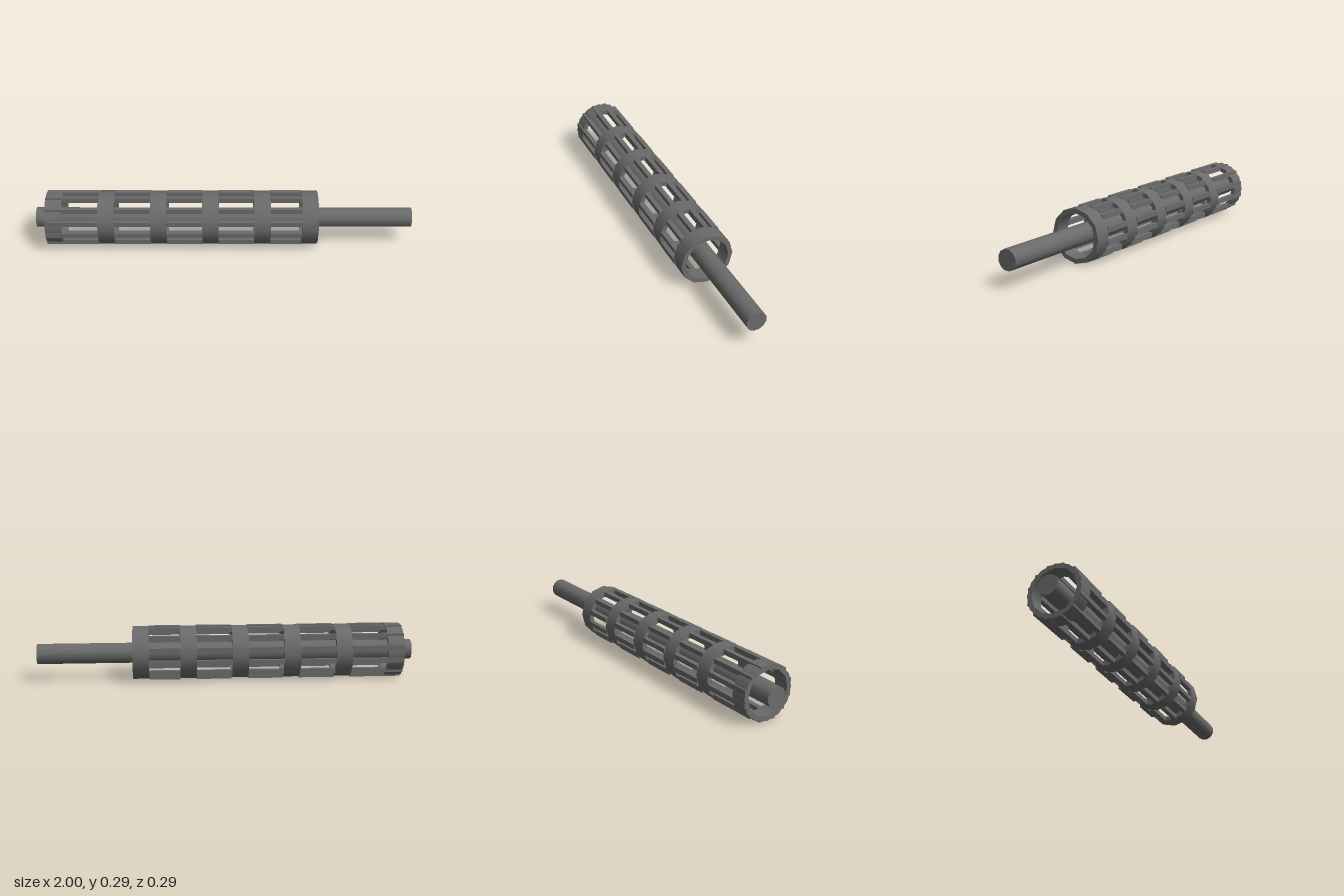
import * as THREE from 'three';
import { mergeGeometries } from 'three/addons/utils/BufferGeometryUtils.js';

const SIDES = 12;
const CENTER_Y = 0.1445;

// Hollow ring along x; each profile edge is its own lathe so corners stay sharp
function ringGeometry(outer, inner, width) {
  const h = width / 2;
  const profile = [[outer, -h], [outer, h], [inner, h], [inner, -h]];
  const faces = profile.map((p, i) => {
    const q = profile[(i + 1) % profile.length];
    return new THREE.LatheGeometry([new THREE.Vector2(...p), new THREE.Vector2(...q)], SIDES);
  });
  return mergeGeometries(faces).rotateZ(-Math.PI / 2);
}

export function createModel() {
  const model = new THREE.Group();
  model.name = 'cageRoller';
  const steel = new THREE.MeshStandardMaterial({ color: 0x6b6b6b });
  steel.name = 'darkSteel';

  const add = (name, geometry, x, y, z) => {
    const mesh = new THREE.Mesh(geometry, steel);
    mesh.name = name;
    mesh.position.set(x, CENTER_Y + y, z);
    model.add(mesh);
  };

  // Central shaft, longer on the +x side
  const shaft = new THREE.CylinderGeometry(0.0535, 0.0535, 2, SIDES, 1, false, Math.PI / 12);
  add('shaft', shaft.rotateZ(-Math.PI / 2), 0, 0, 0);

  // Cage rings
  const ringWidth = 0.086;
  const ringX = [-0.897, -0.621, -0.345, -0.071, 0.203, 0.454];
  const ring = ringGeometry(0.143, 0.119, ringWidth);
  ringX.forEach((x, i) => add(`ring${i + 1}`, ring, x, 0, 0));

  // Square bars between neighbouring rings, all kept upright
  for (let i = 0; i < ringX.length - 1; i++) {
    const start = ringX[i] + (i === 0 ? -1 : 1) * ringWidth / 2;
    const end = ringX[i + 1] - ringWidth / 2;
    const bar = new THREE.BoxGeometry(end - start, 0.0252, 0.0252);
    for (let k = 0; k < SIDES; k++) {
      const a = (k + 0.5) * Math.PI * 2 / SIDES;
      add(`bar${i + 1}_${k + 1}`, bar, (start + end) / 2, 0.1307 * Math.cos(a), 0.1307 * Math.sin(a));
    }
  }
  return model;
}
